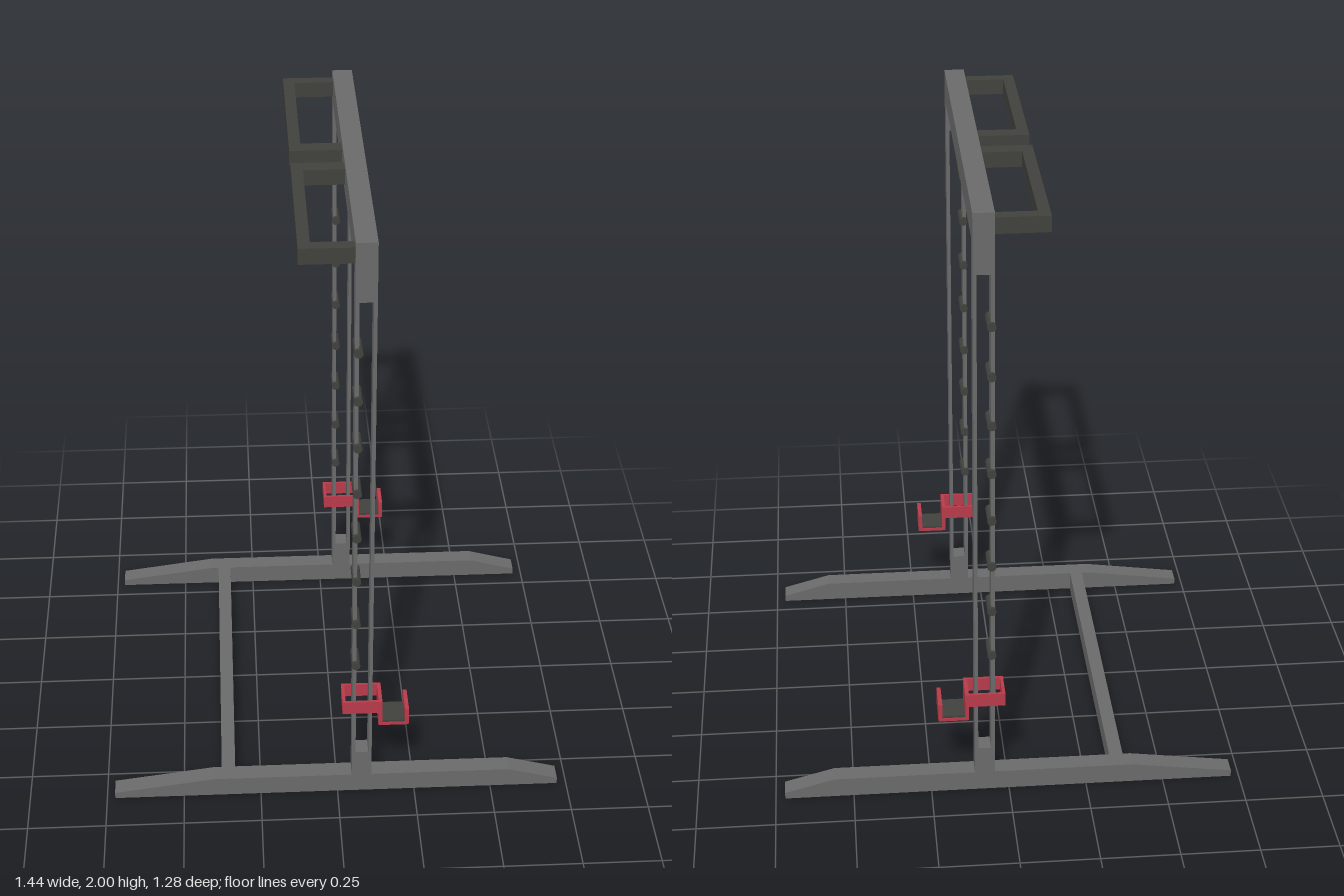
import * as THREE from 'three';

const frameMat = new THREE.MeshStandardMaterial({ color: 0x6a6a6a });
const darkMat = new THREE.MeshStandardMaterial({ color: 0x40403c });
const redMat = new THREE.MeshStandardMaterial({ color: 0xb83a4a });

const SIDE_Z = 0.589; // distance of each upright from the middle
const WIDTH = 0.06;   // tube width

// Box given by its limits on each axis
function block(name, mat, [x0, x1], [y0, y1], [z0, z1]) {
  const mesh = new THREE.Mesh(new THREE.BoxGeometry(x1 - x0, y1 - y0, z1 - z0), mat);
  mesh.position.set((x0 + x1) / 2, (y0 + y1) / 2, (z0 + z1) / 2);
  mesh.name = name;
  return mesh;
}

// Outline in x and y, extruded along z about z = 0
function profile(name, mat, points, depth, hole) {
  const toVec = ([x, y]) => new THREE.Vector2(x, y);
  const shape = new THREE.Shape(points.map(toVec));
  if (hole) shape.holes.push(new THREE.Path(hole.map(toVec)));
  const geo = new THREE.ExtrudeGeometry(shape, { depth, bevelEnabled: false });
  geo.translate(0, 0, -depth / 2);
  const mesh = new THREE.Mesh(geo, mat);
  mesh.name = name;
  return mesh;
}

const rect = (x0, x1, y0, y1) => [[x0, y0], [x1, y0], [x1, y1], [x0, y1]];

// Sliding bar holder: sleeve round the upright plus a padded J-hook
function createBarHolder() {
  const g = new THREE.Group();
  g.name = 'barHolder';
  const h = 0.049, t = 0.009;
  for (const s of [-1, 1]) {
    const z = s > 0 ? [h - t, h] : [-h, -h + t];
    g.add(block('sleeveSide', redMat, [0.014, 0.14], [0.335, 0.38], z));
  }
  g.add(block('sleeveBack', redMat, [0.014, 0.024], [0.335, 0.38], [-h + t, h - t]));
  g.add(profile('hook', redMat, [
    [0.129, 0.285], [0.226, 0.285], [0.226, 0.347], [0.213, 0.347],
    [0.213, 0.295], [0.141, 0.295], [0.141, 0.38], [0.129, 0.38],
  ], 2 * h));
  g.add(block('hookPad', darkMat, [0.141, 0.213], [0.295, 0.302], [-h + 0.003, h - 0.003]));
  return g;
}

// One side: foot, slotted upright, pegs and bar holder
function createSide(z) {
  const g = new THREE.Group();
  g.name = z > 0 ? 'frontSide' : 'backSide';
  g.position.z = z;
  g.add(profile('foot', frameMat, [
    [-0.724, 0], [0.72, 0], [0.72, 0.022], [0.56, 0.066], [-0.4, 0.066], [-0.724, 0.022],
  ], WIDTH));
  g.add(profile('upright', frameMat, rect(0.046, 0.11, 0.066, 2), WIDTH,
    rect(0.058, 0.099, 0.16, 1.81)));
  for (let i = 0; i < 8; i++) {
    const peg = new THREE.Mesh(new THREE.CylinderGeometry(0.014, 0.014, 0.082, 16), darkMat);
    peg.name = 'peg';
    peg.rotation.x = Math.PI / 2;
    peg.position.set(0.056, 0.518 + i * 0.1615, 0);
    g.add(peg);
  }
  g.add(createBarHolder());
  return g;
}

// U-shaped pull-up handle behind the top beam
function createHandle(s) {
  const g = new THREE.Group();
  g.name = 'pullUpHandle';
  const y = [1.93, 1.98];
  const span = (a, b) => (s > 0 ? [a, b] : [-b, -a]);
  g.add(block('handleGrip', darkMat, [-0.116, -0.08], y, span(0.043, 0.608)));
  g.add(block('innerArm', darkMat, [-0.08, 0.046], y, span(0.043, 0.096)));
  g.add(block('outerArm', darkMat, [-0.08, 0.046], y, span(0.567, 0.608)));
  return g;
}

export function createModel() {
  const model = new THREE.Group();
  model.name = 'squatRack';
  for (const s of [-1, 1]) {
    model.add(createSide(s * SIDE_Z));
    model.add(createHandle(s));
  }
  // Beams joining the two sides
  const inner = SIDE_Z - WIDTH / 2;
  model.add(block('topBeam', frameMat, [0.046, 0.11], [1.905, 2], [-inner, inner]));
  model.add(block('baseBeam', frameMat, [-0.376, -0.332], [0, 0.066], [-inner, inner]));
  return model;
}
